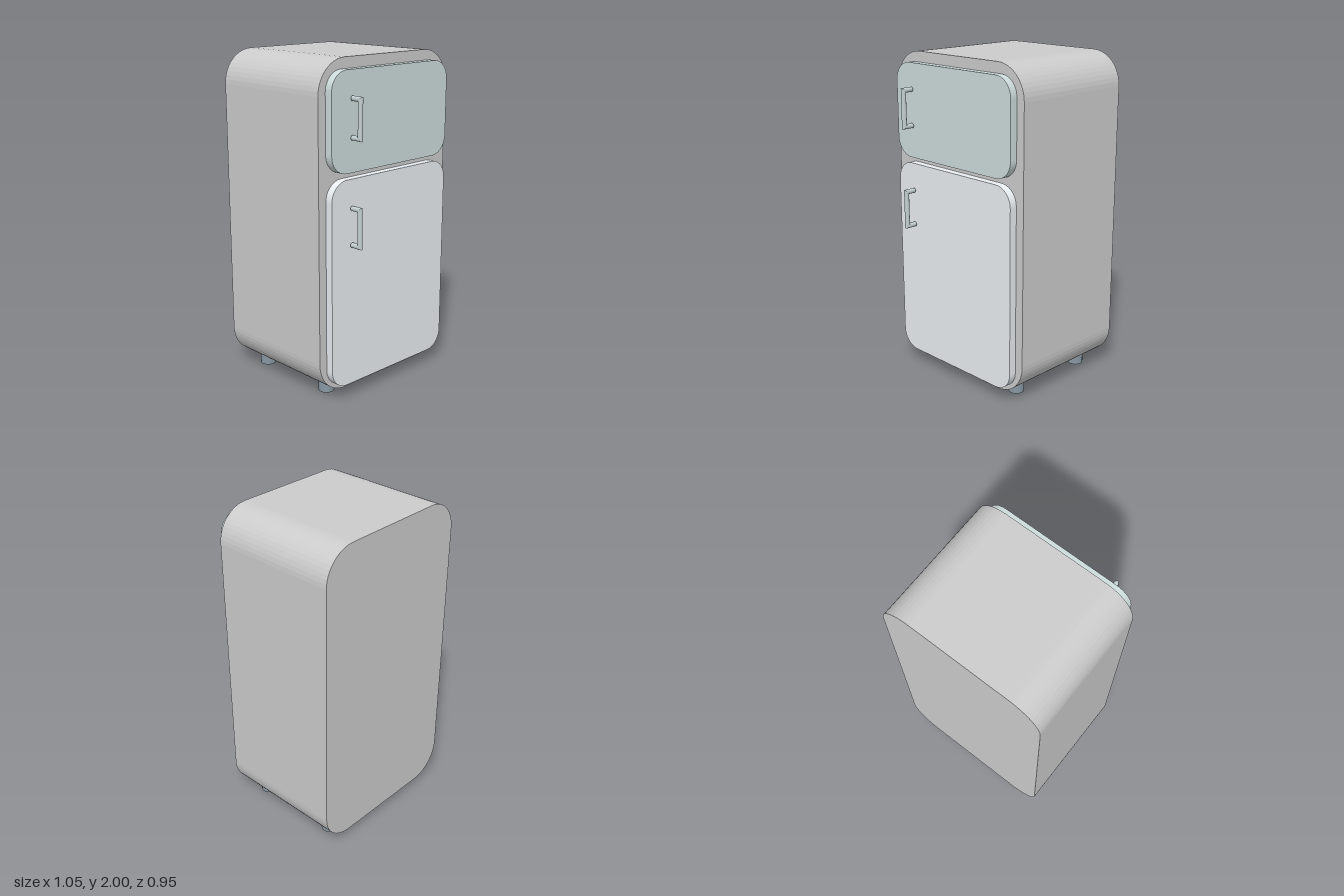
import * as THREE from 'three';

const mat = (color) => new THREE.MeshStandardMaterial({ color });

// Rounded upright slab between two z planes, with faceted corners
function slab(name, halfW, y0, y1, z0, z1, r, material) {
  const s = new THREE.Shape();
  const x = halfW - r, lo = y0 + r, hi = y1 - r, q = Math.PI / 2;
  s.absarc(x, lo, r, -q, 0);
  s.absarc(x, hi, r, 0, q);
  s.absarc(-x, hi, r, q, 2 * q);
  s.absarc(-x, lo, r, 2 * q, 3 * q);
  const geo = new THREE.ExtrudeGeometry(s, { depth: z1 - z0, bevelEnabled: false, curveSegments: 6 });
  geo.translate(0, 0, z0);
  const mesh = new THREE.Mesh(geo, material);
  mesh.name = name;
  return mesh;
}

// Pull handle: a round bar and two prongs with mitred corners
function handle(name, y0, y1, material) {
  const g = new THREE.Group();
  g.name = name;
  const r = 0.015, x = -0.33, zBack = 0.4, zBar = 0.46;
  const half = (y1 - y0) / 2 - r, len = zBar - zBack;

  const bar = new THREE.CylinderGeometry(r, r, 2 * half, 12);
  const p = bar.attributes.position;
  for (let i = 0; i < p.count; i++) p.setY(i, p.getY(i) + Math.sign(p.getY(i)) * p.getZ(i));
  const barMesh = new THREE.Mesh(bar, material);
  barMesh.name = 'handleBar';
  barMesh.position.set(x, (y0 + y1) / 2, zBar);
  g.add(barMesh);

  for (const side of [1, -1]) {
    const prong = new THREE.CylinderGeometry(r, r, len, 12);
    prong.rotateX(Math.PI / 2);
    const v = prong.attributes.position;
    for (let i = 0; i < v.count; i++) {
      if (v.getZ(i) > 0) v.setZ(i, v.getZ(i) + side * v.getY(i));
    }
    const m = new THREE.Mesh(prong, material);
    m.name = side > 0 ? 'upperProng' : 'lowerProng';
    m.position.set(x, (y0 + y1) / 2 + side * half, (zBack + zBar) / 2);
    g.add(m);
  }
  return g;
}

export function createModel() {
  const model = new THREE.Group();
  model.name = 'refrigerator';
  const metal = mat(0xc4d0d3), footMat = mat(0x8797a3);

  // Cabinet and doors
  model.add(
    slab('cabinet', 0.527, 0.05, 2, -0.475, 0.336, 0.2, mat(0xcccccc)),
    slab('freezerDoor', 0.477, 1.365, 1.937, 0.34, 0.388, 0.115, mat(0xcddcdb)),
    slab('fridgeDoor', 0.477, 0.09, 1.33, 0.34, 0.388, 0.115, mat(0xe9eef2)),
    handle('freezerHandle', 1.55, 1.797, metal),
    handle('fridgeHandle', 0.935, 1.18, metal)
  );

  // Four short feet
  const footGeo = new THREE.CylinderGeometry(0.048, 0.048, 0.08, 16);
  for (const x of [-0.36, 0.36]) {
    for (const z of [0.21, -0.34]) {
      const foot = new THREE.Mesh(footGeo, footMat);
      foot.name = (z > 0 ? 'front' : 'back') + (x > 0 ? 'Left' : 'Right') + 'Foot';
      foot.position.set(x, 0.04, z);
      model.add(foot);
    }
  }
  return model;
}
